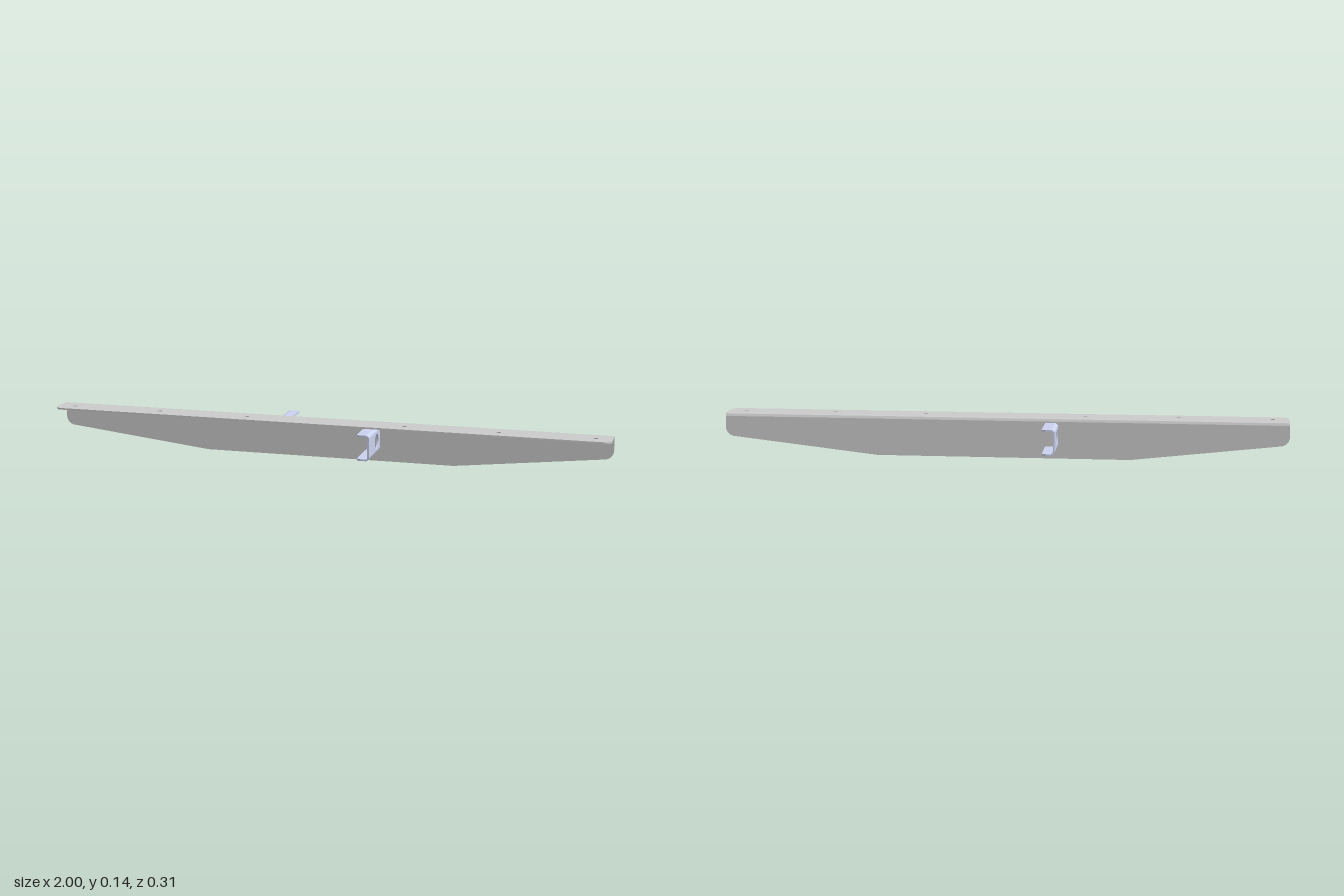
import * as THREE from 'three';
import { toCreasedNormals } from 'three/addons/utils/BufferGeometryUtils.js';

const T = 0.006; // sheet thickness
const R = 0.012; // outer bend radius
const steel = new THREE.MeshStandardMaterial({ color: 0xcccccc });
const blue = new THREE.MeshStandardMaterial({ color: 0xcbd2ef });

function part(geometry, material, name) {
  const mesh = new THREE.Mesh(toCreasedNormals(geometry, 0.6), material);
  mesh.name = name;
  return mesh;
}

const extrude = (shape, depth) =>
  new THREE.ExtrudeGeometry(shape, { depth, bevelEnabled: false, curveSegments: 16 });

// Outline from [x, y, cornerRadius] points; a radius rounds that corner
function outline(points) {
  const shape = new THREE.Shape();
  const n = points.length;
  points.forEach(([x, y, r = 0], i) => {
    const p = new THREE.Vector2(x, y);
    const toward = ([qx, qy]) =>
      new THREE.Vector2(qx, qy).sub(p).normalize().multiplyScalar(r).add(p);
    const a = toward(points[(i + n - 1) % n]);
    const b = toward(points[(i + 1) % n]);
    if (i === 0) shape.moveTo(a.x, a.y);
    else shape.lineTo(a.x, a.y);
    if (r > 0) {
      const k = 0.45; // cubic handles approximating a circular fillet
      const h1 = p.clone().lerp(a, k), h2 = p.clone().lerp(b, k);
      shape.bezierCurveTo(h1.x, h1.y, h2.x, h2.y, b.x, b.y);
    }
  });
  shape.closePath();
  return shape;
}

function addHole(shape, x, y, r) {
  shape.holes.push(new THREE.Path().absarc(x, y, r, 0, Math.PI * 2, true));
}

// Quarter-ring sheet bend around the origin, running along z
function bend(startAngle, length) {
  const s = new THREE.Shape();
  s.absarc(0, 0, R, startAngle, startAngle + Math.PI / 2, false);
  s.absarc(0, 0, R - T, startAngle + Math.PI / 2, startAngle, true);
  s.closePath();
  return extrude(s, length);
}

// Long folded angle: tapered apron, bend and drilled top flange
function angleBeam() {
  const g = new THREE.Group();
  g.name = 'angleBeam';
  const top = 0.143, back = -0.007;

  const apron = outline([
    [-1, top - R], [-1, 0.062, 0.028], [-0.45, 0], [0.45, 0], [1, 0.062, 0.028], [1, top - R],
  ]);
  g.add(part(extrude(apron, T).translate(0, 0, back), steel, 'apron'));

  g.add(part(bend(Math.PI / 2, 2).translate(0, 0, -1).rotateY(-Math.PI / 2)
    .translate(0, top - R, back + R), steel, 'beamBend'));

  const flange = outline([
    [-1, back + R], [1, back + R], [1, 0.101, 0.025], [-1, 0.101, 0.025],
  ]);
  for (const x of [0.285, 0.614, 0.942]) {
    addHole(flange, x, 0.054, 0.009);
    addHole(flange, -x, 0.054, 0.009);
  }
  g.add(part(extrude(flange, T).rotateX(Math.PI / 2).translate(0, top, 0), steel, 'topFlange'));
  return g;
}

// Short C-channel from z = 0 to length; web face at x = 0, open toward -x
function channel(name, length, holeAt) {
  const g = new THREE.Group();
  g.name = name;
  const y0 = 0.037, y1 = 0.127, width = 0.045;

  const web = outline([[0, y0 + R], [length, y0 + R], [length, y1 - R], [0, y1 - R]]);
  addHole(web, holeAt, 0.082, 0.0265);
  g.add(part(extrude(web, T).rotateY(-Math.PI / 2), blue, 'channelWeb'));

  g.add(part(bend(0, length).translate(-R, y1 - R, 0), blue, 'upperBend'));
  g.add(part(bend(-Math.PI / 2, length).translate(-R, y0 + R, 0), blue, 'lowerBend'));

  const flange = outline([[-width, 0], [-R, 0], [-R, length], [-width, length, 0.012]]);
  for (const [label, y] of [['upperFlange', y1], ['lowerFlange', y0 + T]]) {
    g.add(part(extrude(flange, T).rotateX(Math.PI / 2).translate(0, y, 0), blue, label));
  }
  return g;
}

export function createModel() {
  const model = new THREE.Group();
  model.name = 'bracketBeam';
  model.add(angleBeam());

  const front = channel('frontChannel', 0.158, 0.048);
  front.position.set(0.187, 0, -0.001);
  model.add(front);

  // Rear channel is the front one turned half way round
  const rear = channel('rearChannel', 0.15, 0.04);
  rear.rotation.y = Math.PI;
  rear.position.set(-0.195, 0, -0.007);
  model.add(rear);
  return model;
}
